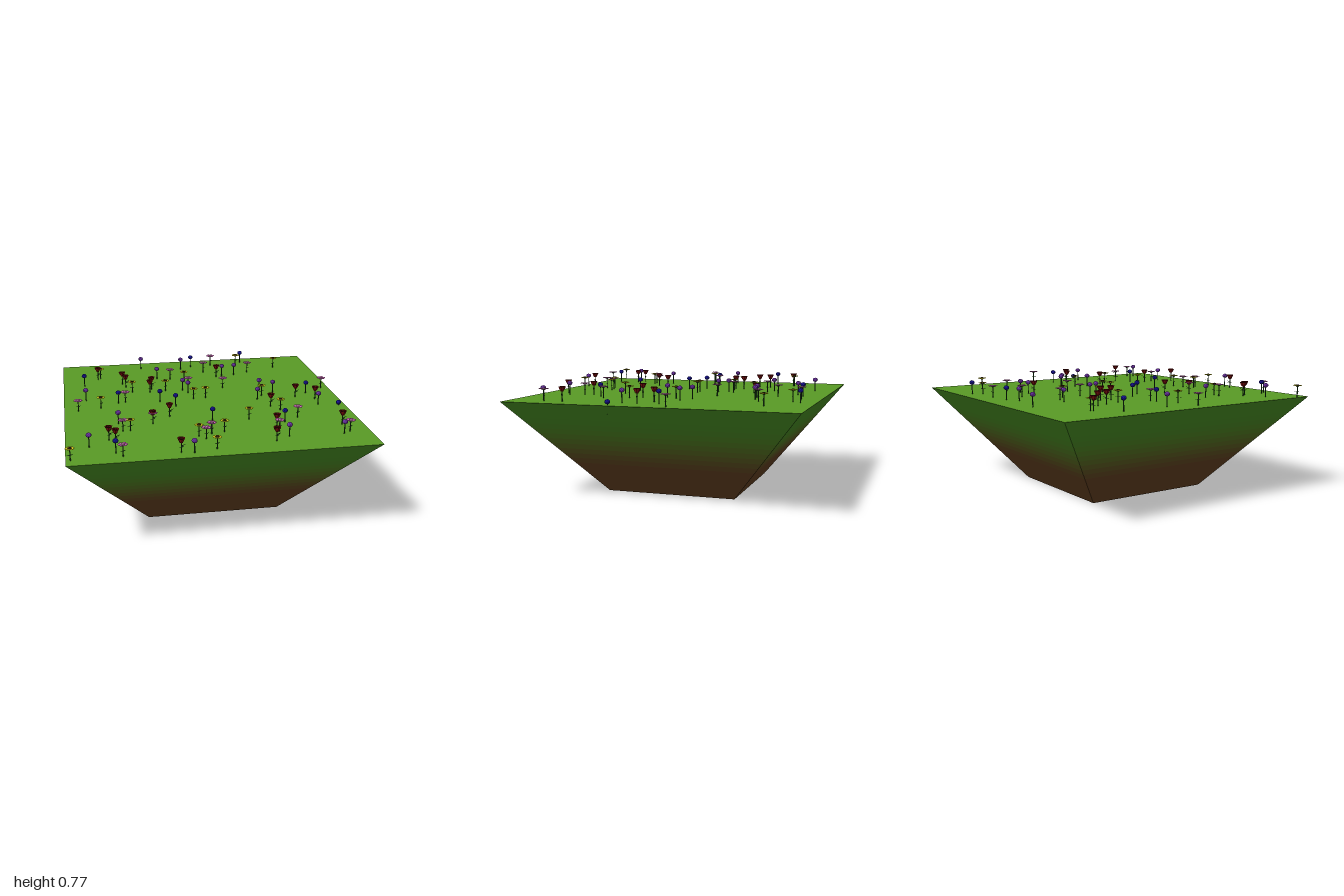
import * as THREE from 'three';
import { mergeGeometries } from 'three/addons/utils/BufferGeometryUtils.js';

const TOP = 0.675, HALF_TOP = 1, HALF_BASE = 0.46;
const mat = (color, flat = true, side = THREE.FrontSide) =>
  new THREE.MeshStandardMaterial({ color, flatShading: flat, side });

function add(parent, name, geometry, material, x = 0, y = 0, z = 0) {
  const mesh = new THREE.Mesh(geometry, material);
  mesh.name = name;
  mesh.position.set(x, y, z);
  parent.add(mesh);
  return mesh;
}

// Ring of copies of one geometry around the y axis
function ring(geometry, count, offset = 0) {
  const copies = [];
  for (let i = 0; i < count; i++) {
    copies.push(geometry.clone().rotateY(offset + (i * Math.PI * 2) / count));
  }
  return mergeGeometries(copies);
}

// Rounded petal reaching out along +x, tilted upwards
function petal(length, width, tilt, reach) {
  return new THREE.SphereGeometry(1, 7, 5)
    .scale(length / 2, 0.003, width / 2)
    .rotateZ(tilt)
    .translate(reach, 0, 0);
}

// Pointed leaf blade along +x
function leaf(length, width) {
  return new THREE.ConeGeometry(width / 2, length, 4)
    .rotateZ(-Math.PI / 2)
    .scale(1, 0.3, 1)
    .translate(length / 2, 0, 0);
}

// Floating block of earth: four sloping sides fading from soil to grass
function createGround() {
  const ground = new THREE.Group();
  ground.name = 'ground';
  const soil = new THREE.Color(0x5c3b1d), grass = new THREE.Color(0x42841f);
  const bands = 18;
  const radiusAt = t => THREE.MathUtils.lerp(HALF_BASE, HALF_TOP, t) * Math.SQRT2;
  for (let i = 0; i < bands; i++) {
    const t0 = i / bands, t1 = (i + 1) / bands;
    const color = soil.clone().lerp(grass, THREE.MathUtils.smoothstep((t0 + t1) / 2, 0.28, 0.85));
    const band = new THREE.CylinderGeometry(radiusAt(t1), radiusAt(t0), TOP / bands, 4, 1, true)
      .rotateY(Math.PI / 4);
    add(ground, 'slopeBand', band, mat(color), 0, TOP * (t0 + t1) / 2, 0);
  }
  add(ground, 'grassTop', new THREE.PlaneGeometry(2, 2).rotateX(-Math.PI / 2), mat(0x589a25), 0, TOP, 0);
  add(ground, 'soilBase', new THREE.PlaneGeometry(2 * HALF_BASE, 2 * HALF_BASE).rotateX(Math.PI / 2), mat(0x5c3b1d));
  return ground;
}

const stemMat = mat(0x1e4a1c);

// Stem with optional pair of leaves, local y = 0 at the grass
function createStem(name, height, leaves) {
  const flower = new THREE.Group();
  flower.name = name;
  const stem = new THREE.CylinderGeometry(0.0035, 0.004, height, 6);
  add(flower, 'stem', stem, stemMat, 0, height / 2, 0);
  if (leaves) add(flower, 'leaves', ring(leaf(0.025, 0.014).rotateZ(0.15), leaves, 0.5), stemMat, 0, 0.036, 0);
  return flower;
}

// Flat open flower with a round centre
function createDaisy(name, petalColor, centreColor, radius, count, centreRadius) {
  const flower = createStem(name, 0.08, 2);
  const length = radius * 0.7;
  add(flower, 'petals', ring(petal(length, radius * 0.8, 0.12, radius - length / 2), count), mat(petalColor, false), 0, 0.081, 0);
  const centre = new THREE.SphereGeometry(centreRadius, 10, 6).scale(1, 0.5, 1);
  add(flower, 'centre', centre, mat(centreColor, false), 0, 0.082, 0);
  add(flower, 'calyx', new THREE.ConeGeometry(radius * 0.5, 0.012, 8).rotateX(Math.PI), stemMat, 0, 0.073, 0);
  return flower;
}

// Small round blossom on a bare stem
function createBud(name, color) {
  const flower = createStem(name, 0.075, 0);
  add(flower, 'blossom', new THREE.IcosahedronGeometry(0.019, 1).scale(1, 0.85, 1), mat(color), 0, 0.083, 0);
  return flower;
}

// Cup-shaped rose with nested petal layers and one side leaf
function createRose() {
  const flower = createStem('rose', 0.07, 2);
  const red = mat(0x7c0c0c, true, THREE.DoubleSide), dark = mat(0x4c0808, true, THREE.DoubleSide);
  const cup = [[0.003, 0], [0.014, 0.008], [0.02, 0.02], [0.026, 0.033]].map(p => new THREE.Vector2(...p));
  add(flower, 'outerPetals', new THREE.LatheGeometry(cup, 7), red, 0, 0.065, 0);
  add(flower, 'innerPetals', new THREE.LatheGeometry(cup, 6).scale(0.65, 0.9, 0.65), dark, 0, 0.068, 0);
  add(flower, 'heart', new THREE.ConeGeometry(0.012, 0.03, 6), red, 0, 0.082, 0);
  add(flower, 'sepals', ring(leaf(0.022, 0.009).rotateZ(0.5), 5), stemMat, 0, 0.066, 0);
  add(flower, 'sideLeaf', leaf(0.038, 0.016).rotateZ(0.3).rotateY(0.3), stemMat, 0, 0.043, 0);
  return flower;
}

// Flower positions as x, z pairs
const beds = {
  rose: [-.73, -.63, -.55, -.48, -.53, -.40, -.34, -.32, -.36, -.25, .20, -.54, .69, .03, .82, .10, .46, .20,
    -.28, .28, -.41, .40, -.72, .64, -.68, .69, .40, .60, .85, .62, .34, .83, -.29, .91],
  yellow: [.42, -.84, .71, -.71, -.71, -.64, -.07, -.46, -.49, -.28, -.24, -.27, -.74, .03, -.06, -.05, .03, -.06,
    .45, -.04, .51, .28, .25, .42, -.57, .50, .04, .62, -.14, .67, -.06, .89, -.97, .92],
  pink: [.21, -.86, .12, -.68, -.17, -.54, .47, -.62, -.06, -.31, .20, -.26, -.56, -.06, -.90, .07, .94, -.14,
    .59, .44, -.62, .50, .40, .67, -.05, .64, -.10, .72, -.65, .91, .86, .75, -.41, .40],
  purple: [-.37, -.86, -.05, -.79, -.27, -.57, .25, -.56, .35, -.57, -.11, -.26, -.08, -.19, -.84, -.14, .46, -.16,
    .55, -.10, .40, .04, .81, .21, -.64, .36, -.85, .73, .44, .77, .81, .78, -.21, .93],
  blue: [.04, -.84, .47, -.90, -.84, -.48, -.61, -.05, -.31, -.03, -.21, .08, .79, -.04, 0, .40, .48, .51, -.69, .85],
};

export function createModel() {
  const model = new THREE.Group();
  model.name = 'flowerMeadow';
  model.add(createGround());

  const kinds = {
    rose: createRose(),
    yellow: createDaisy('yellowFlower', 0xd6cf1c, 0x2a1a0a, 0.031, 7, 0.014),
    pink: createDaisy('pinkFlower', 0xc864b4, 0xd88cc0, 0.034, 6, 0.011),
    purple: createBud('purpleFlower', 0x6a30a0),
    blue: createBud('blueFlower', 0x14108c),
  };
  const plant = (kind, x, z, sink = 0) => {
    const flower = kinds[kind].clone();
    flower.position.set(x, TOP - sink, z);
    model.add(flower);
  };
  for (const [kind, spots] of Object.entries(beds)) {
    for (let i = 0; i < spots.length; i += 2) plant(kind, spots[i], spots[i + 1]);
  }
  // One blue flower sits low in the grass
  plant('blue', 0.95, 0.25, 0.062);
  return model;
}
